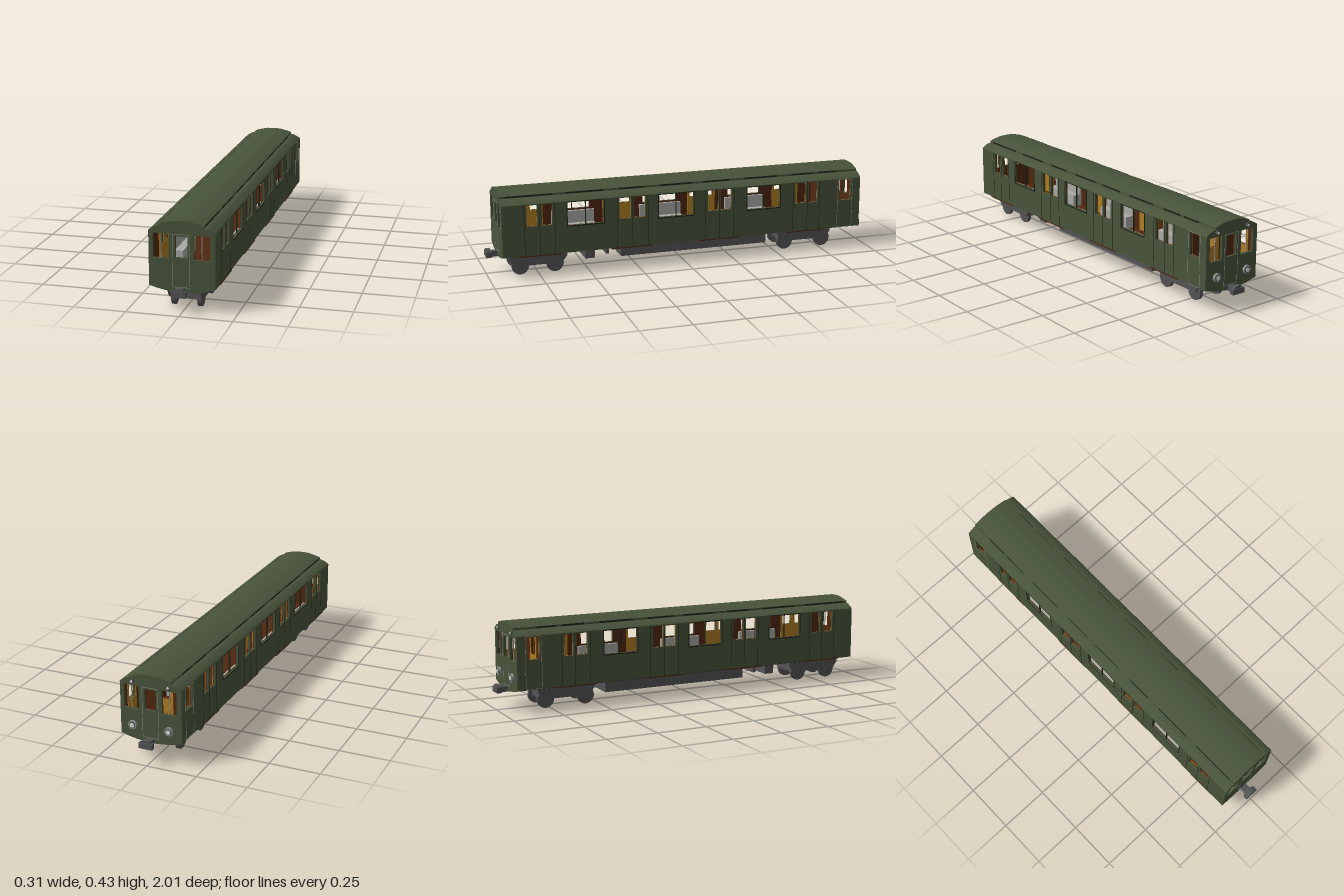
import * as THREE from 'three';

const mat = (name, color) => {
  const m = new THREE.MeshStandardMaterial({ color });
  m.name = name;
  return m;
};

export function createModel() {
  const green = mat('body green', 0x48533a);
  const darkGreen = mat('seam dark green', 0x1f2519);
  const brown = mat('interior brown', 0x4f270f);
  const ochre = mat('door ochre', 0xb07c22);
  const grey = mat('running gear grey', 0x535356);
  const dark = mat('underside dark grey', 0x303032);
  const seatGrey = mat('seat grey', 0xa9a9a6);
  const silver = mat('trim silver', 0x8b8f8a);
  const lamp = mat('lamp glass', 0xdcdcd4);

  const root = new THREE.Group();
  root.name = 'railwayCarriage';
  const add = (name, geo, m, parent = root) => {
    const mesh = new THREE.Mesh(geo, m);
    mesh.name = name;
    parent.add(mesh);
    return mesh;
  };
  // box given by its limits on each axis
  const box = (name, m, x0, x1, y0, y1, z0, z1, parent) => {
    const mesh = add(name, new THREE.BoxGeometry(x1 - x0, y1 - y0, z1 - z0), m, parent);
    mesh.position.set((x0 + x1) / 2, (y0 + y1) / 2, (z0 + z1) / 2);
    return mesh;
  };
  const poly = pts => new THREE.Shape(pts.map(p => new THREE.Vector2(p[0], p[1])));
  const rect = (a, b, c, d) => poly([[a, c], [b, c], [b, d], [a, d]]);
  const withHoles = (shape, holes) => {
    holes.forEach(h => shape.holes.push(rect(...h)));
    return shape;
  };
  const extrude = (shape, depth) =>
    new THREE.ExtrudeGeometry(shape, { depth, bevelEnabled: false, curveSegments: 20 });
  // plate whose shape lies in the (z, y) plane, on either side, from |x| = x0 to x1
  const sidePlate = (name, shape, x0, x1, s, m, parent) => {
    const geo = extrude(shape, x1 - x0).rotateY(-Math.PI / 2);
    add(name, geo, m, parent).position.x = s > 0 ? x1 : -x0;
  };
  const endPlate = (name, shape, z0, z1, m, parent) => {
    add(name, extrude(shape, z1 - z0), m, parent).position.z = z0;
  };

  const ZF = 0.94, ZB = -0.945, W = 0.155, T = 0.012;
  const mirrored = half => [...half, ...half.slice().reverse().filter(p => p[0] !== 0).map(p => [-p[0], p[1]])];

  // window layout along the sides: [z0, z1, y0, y1]
  const doorPairs = [[0.69, 0.743, 0.765, 0.818], [0.219, 0.278, 0.294, 0.353],
    [-0.235, -0.176, -0.166, -0.107], [-0.706, -0.658, -0.642, -0.583]];
  const bigWindows = [[0.433, 0.615], [-0.032, 0.15], [-0.497, -0.32]];
  const cabWindow = [-0.893, -0.829, 0.262, 0.372];
  const doorHoles = doorPairs.flatMap(([a, b, c, d]) => [[a, b, 0.265, 0.372], [c, d, 0.265, 0.372]]);
  const sideHoles = [...doorHoles, ...bigWindows.map(([a, b]) => [a, b, 0.255, 0.372]), cabWindow];

  for (const s of [1, -1]) {
    const side = new THREE.Group();
    side.name = s > 0 ? 'leftSide' : 'rightSide';
    root.add(side);
    const strip = (name, m, z0, z1, y0, y1, x0 = W, x1 = W + 0.001) =>
      box(name, m, Math.min(s * x0, s * x1), Math.max(s * x0, s * x1), y0, y1, z0, z1, side);

    sidePlate('sideWall', withHoles(rect(ZB + T, ZF - T, 0.117, 0.377), sideHoles), 0.145, W, s, green, side);
    sidePlate('sideLining', withHoles(rect(ZB + T, ZF - T, 0.119, 0.376), sideHoles), 0.141, 0.145, s, brown, side);

    // sliding doors: ochre inside, seams and threshold outside
    for (const [a, b, c, d] of doorPairs) {
      const z0 = a - 0.012, z1 = d + 0.012, mid = (b + c) / 2;
      sidePlate('doorLining', withHoles(rect(z0, z1, 0.12, 0.376),
        [[a, b, 0.265, 0.372], [c, d, 0.265, 0.372]]), 0.138, 0.141, s, ochre, side);
      for (const z of [z0, mid, z1]) strip('doorSeam', darkGreen, z - 0.0012, z + 0.0012, 0.117, 0.377);
      strip('doorThreshold', brown, z0 - 0.03, z1 + 0.03, 0.112, 0.118, 0.146, W + 0.001);
    }
    // large windows: dark frame and centre bar
    for (const [a, b] of bigWindows) {
      sidePlate('windowFrame', withHoles(rect(a - 0.005, b + 0.005, 0.249, 0.376),
        [[a, b, 0.255, 0.372]]), W, W + 0.001, s, darkGreen, side);
      const m = (a + b) / 2;
      strip('windowBar', darkGreen, m - 0.002, m + 0.002, 0.255, 0.372, 0.145, 0.152);
      // bench below each large window
      strip('seatCushion', seatGrey, a - 0.02, b + 0.02, 0.122, 0.185, 0.085, 0.14);
      strip('seatBack', seatGrey, a - 0.02, b + 0.02, 0.185, 0.248, 0.125, 0.14);
    }
    // cab door
    sidePlate('cabDoorTrim', withHoles(rect(-0.903, -0.819, 0.118, 0.376),
      [[-0.901, -0.821, 0.12, 0.374]]), W, W + 0.001, s, silver, side);
    sidePlate('cabDoorLining', withHoles(rect(-0.903, -0.819, 0.12, 0.376), [cabWindow]),
      0.138, 0.141, s, ochre, side);

    // dark strips along the roof step
    for (const [z0, z1] of [[-0.83, -0.725], [-0.7, -0.58], [-0.5, -0.32], [-0.24, -0.1],
      [-0.04, 0.13], [0.21, 0.34], [0.42, 0.61], [0.68, 0.91]])
      strip('roofVent', darkGreen, z0, z1, 0.403, 0.411, 0.1, 0.1055);
  }

  // roof shell with a stepped centre section, and ceiling
  const roofHalf = [[W, 0.377], [0.148, 0.383], [0.135, 0.391], [0.12, 0.398], [0.103, 0.401], [0.103, 0.411],
    [0.085, 0.417], [0.06, 0.423], [0.036, 0.428], [0, 0.429]];
  const roofOuter = mirrored(roofHalf);
  const ceilHalf = [[0.141, 0.372], [0.12, 0.386], [0.095, 0.396], [0.05, 0.413], [0, 0.418]];
  const ceilInner = mirrored(ceilHalf);
  endPlate('roof', poly([...roofOuter, [-0.141, 0.377], ...ceilInner.slice(1, -1).reverse(), [0.141, 0.377]]),
    ZB + T, ZF - T, green);
  const ceilLow = ceilInner.map(([x, y]) => [x * 0.99, y - 0.004]);
  endPlate('ceiling', poly([...ceilInner, ...ceilLow.reverse()]), ZB + T, ZF - T, brown);

  // floor with a shallow curved underside
  const bellyHalf = [[0.03, 0.093], [0.08, 0.099], [0.12, 0.107], [W, 0.117]];
  const belly = [...bellyHalf.map(p => [-p[0], p[1]]).reverse(), ...bellyHalf];
  endPlate('underside', poly(belly), ZB + T, ZF - T, dark);
  box('floor', brown, -0.144, 0.144, 0.117, 0.121, ZB + T, ZF - T);

  // end walls: two side windows and a central door
  const doorWin = [-0.031, 0.027, 0.255, 0.357];
  const endWindows = [[-0.135, -0.061, 0.249, 0.366], [0.056, 0.13, 0.249, 0.366], doorWin];
  const endOutline = () => poly([...belly, ...roofOuter]);
  const buildEnd = name => {
    const end = new THREE.Group();
    end.name = name;
    root.add(end);
    endPlate('endWall', withHoles(endOutline(), endWindows), -T, 0, green, end);
    endPlate('endLining', withHoles(rect(-0.141, 0.141, 0.121, 0.372), endWindows), -T - 0.003, -T, brown, end);
    endPlate('endDoorTrim', withHoles(rect(-0.044, 0.038, 0.116, 0.367),
      [[-0.042, 0.036, 0.118, 0.365]]), 0, 0.001, silver, end);
    for (const [a, b, c, d] of endWindows.slice(0, 2)) {
      const m = (a + b) / 2;
      box('endWindowBar', silver, m - 0.0015, m + 0.0015, c, d, -0.008, -0.004, end);
    }
    // coupler: shank, flared head and rounded top
    const plan = poly([[-0.014, -0.01], [0.014, -0.01], [0.014, 0.026], [0.034, 0.038],
      [0.034, 0.06], [-0.034, 0.06], [-0.034, 0.038], [-0.014, 0.026]]);
    add('coupler', extrude(plan, 0.027).rotateX(Math.PI / 2), grey, end).position.set(-0.003, 0.114, 0);
    const top = add('couplerTop', new THREE.CylinderGeometry(0.026, 0.026, 0.02, 24)
      .rotateX(Math.PI / 2).scale(1, 0.6, 1), grey, end);
    top.position.set(-0.003, 0.112, 0.046);
    return end;
  };
  buildEnd('frontEnd').position.z = ZF;
  const back = buildEnd('backEnd');
  back.rotation.y = Math.PI;
  back.position.z = ZB;

  // headlamps and marker lamps on the cab end
  const round = (name, r, d, x, y, z, m) =>
    add(name, new THREE.CylinderGeometry(r, r, d, 24).rotateX(Math.PI / 2), m, back).position.set(x, y, z);
  for (const s of [1, -1]) {
    round('headlampRim', 0.021, 0.012, s * 0.092, 0.17, 0.006, silver);
    round('headlampRing', 0.016, 0.002, s * 0.092, 0.17, 0.0125, grey);
    round('headlampGlass', 0.011, 0.004, s * 0.092, 0.17, 0.014, lamp);
    round('markerRim', 0.011, 0.008, s * 0.092, 0.387, 0.004, grey);
    round('markerGlass', 0.006, 0.002, s * 0.092, 0.387, 0.009, lamp);
  }

  // cab bulkhead with a glazed door opening
  endPlate('bulkhead', withHoles(rect(-0.138, 0.138, 0.121, 0.38), [doorWin]), -0.805, -0.795, brown);
  for (const z of [-0.795, -0.808])
    endPlate('bulkheadDoor', withHoles(rect(-0.044, 0.038, 0.121, 0.37), [doorWin]), z, z + 0.003, ochre);

  // bogies
  const buildBogie = (name, z, half) => {
    const bogie = new THREE.Group();
    bogie.name = name;
    bogie.position.z = z;
    root.add(bogie);
    const frame = poly([[-0.148, 0.097], [-0.148, 0.082], [-0.122, 0.046], [0.122, 0.046],
      [0.148, 0.082], [0.148, 0.097]]);
    for (const s of [1, -1]) sidePlate('bogieSideFrame', frame, 0.073, 0.082, s, grey, bogie);
    box('bogieBolster', grey, -0.073, 0.073, 0.044, 0.09, -0.03, 0.03, bogie);
    box('bogieTopPlate', grey, -0.08, 0.08, 0.086, 0.098, -0.14, 0.14, bogie);
    for (const e of [1, -1]) {
      box('bogieEndBeam', grey, -0.073, 0.073, 0.044, 0.086, e * 0.124 - 0.006, e * 0.124 + 0.006, bogie);
      add('axle', new THREE.CylinderGeometry(0.009, 0.009, 0.15, 12).rotateZ(Math.PI / 2), grey, bogie)
        .position.set(0, 0.043, e * half);
      for (const s of [1, -1])
        add('wheel', new THREE.CylinderGeometry(0.043, 0.043, 0.017, 32).rotateZ(Math.PI / 2), grey, bogie)
          .position.set(s * 0.062, 0.043, e * half);
    }
  };
  buildBogie('frontBogie', 0.752, 0.088);
  buildBogie('backBogie', -0.667, 0.105);

  // underfloor equipment
  box('equipmentCase', grey, -0.07, 0.07, 0.045, 0.1, -0.455, 0.325);
  box('equipmentBeam', grey, -0.07, 0.07, 0.05, 0.1, 0.46, 0.51);
  box('equipmentBar', grey, -0.07, 0.07, 0.065, 0.1, 0.387, 0.403);

  return root;
}
